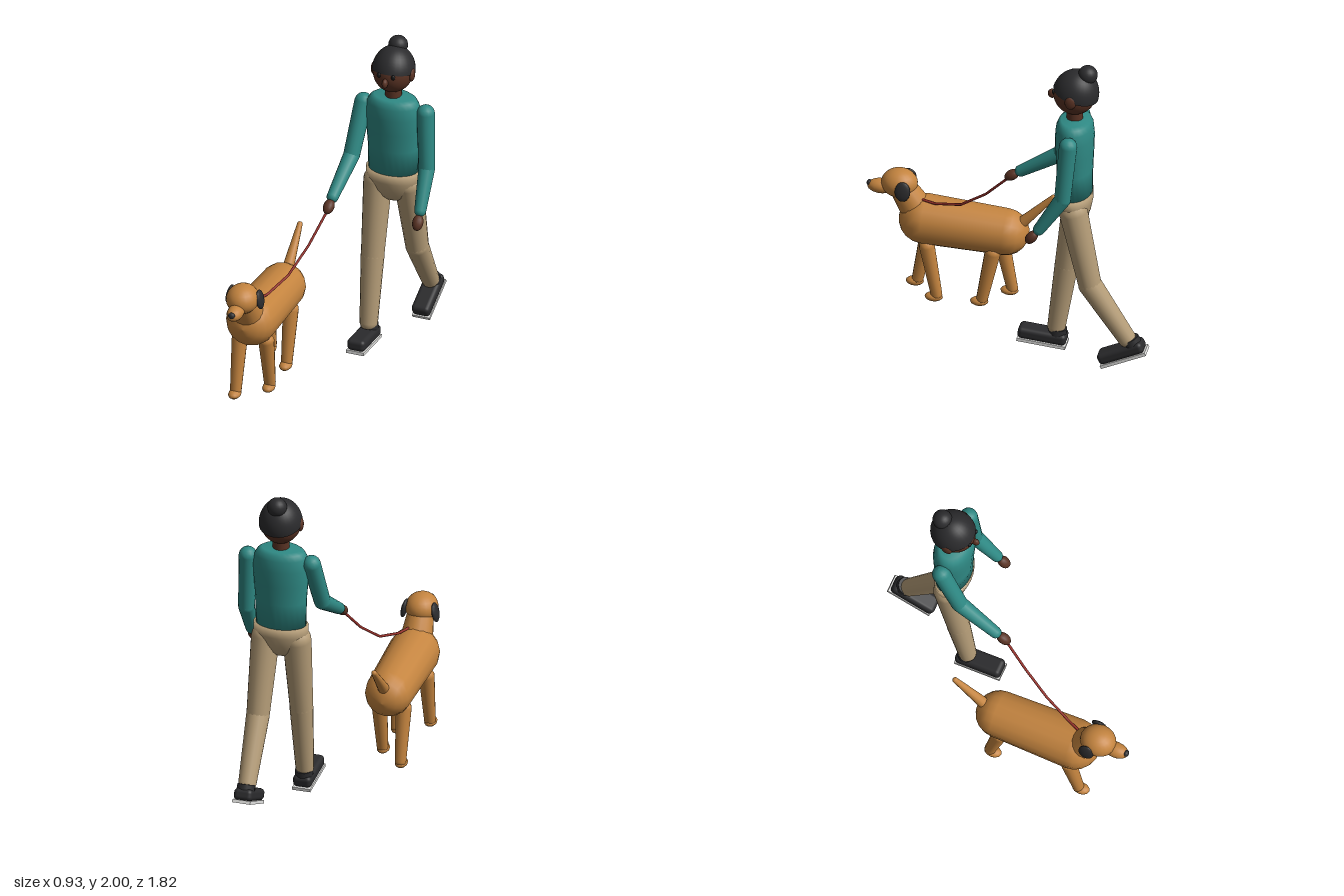
import * as THREE from 'three';
import { RoundedBoxGeometry } from 'three/addons/geometries/RoundedBoxGeometry.js';

const mat = (name, color) => {
  const m = new THREE.MeshStandardMaterial({ color });
  m.name = name;
  return m;
};

export function createModel() {
  const skin = mat('skin brown', 0x5a3324);
  const dark = mat('charcoal', 0x2b2b2d);
  const teal = mat('sweater teal', 0x2f8a85);
  const tan = mat('trouser tan', 0xb59d78);
  const fur = mat('fur golden', 0xc4843f);
  const red = mat('leash red', 0x96302a);
  const white = mat('sole white', 0xe2e2e0);
  const black = mat('eye black', 0x181818);

  const root = new THREE.Group();
  const person = new THREE.Group();
  person.name = 'walker';
  const dog = new THREE.Group();
  dog.name = 'dog';
  root.add(person, dog);

  const add = (parent, name, geo, material, pos = [0, 0, 0]) => {
    const m = new THREE.Mesh(geo, material);
    m.name = name;
    m.position.set(...pos);
    parent.add(m);
    return m;
  };

  const ball = (parent, name, material, pos, radii, seg = 20) => {
    const m = add(parent, name, new THREE.SphereGeometry(1, seg, Math.round(seg * 0.7)), material, pos);
    m.scale.set(...radii);
    return m;
  };

  // Tapered capsule between two points
  const limb = (parent, name, material, a, b, ra, rb, seg = 16) => {
    const from = new THREE.Vector3(...a), to = new THREE.Vector3(...b);
    const dir = to.clone().sub(from), len = dir.length(), pts = [];
    for (let i = 0; i <= 5; i++) {
      const t = (i / 5) * Math.PI / 2;
      pts.push(new THREE.Vector2(Math.sin(t) * ra, -Math.cos(t) * ra));
    }
    for (let i = 0; i <= 5; i++) {
      const t = (i / 5) * Math.PI / 2;
      pts.push(new THREE.Vector2(Math.cos(t) * rb, len + Math.sin(t) * rb));
    }
    const m = add(parent, name, new THREE.LatheGeometry(pts, seg), material, a);
    m.quaternion.setFromUnitVectors(new THREE.Vector3(0, 1, 0), dir.normalize());
    return m;
  };

  // Elliptical lathe for the trunk
  const trunk = (name, material, profile, depth) => {
    const geo = new THREE.LatheGeometry(profile.map(p => new THREE.Vector2(...p)), 24);
    const m = add(person, name, geo, material, [0.19, 0, -0.45]);
    m.scale.z = depth;
  };

  trunk('sweater', teal, [[0, 1.13], [0.154, 1.135], [0.157, 1.3], [0.166, 1.42], [0.171, 1.52],
    [0.162, 1.59], [0.143, 1.622], [0.118, 1.638], [0, 1.645]], 0.68);
  trunk('hips', tan, [[0, 0.93], [0.07, 0.94], [0.115, 0.97], [0.15, 1.02], [0.168, 1.08], [0.169, 1.14], [0, 1.141]], 0.64);

  // Head
  limb(person, 'neck', skin, [0.19, 1.6, -0.45], [0.19, 1.72, -0.45], 0.05, 0.05);
  ball(person, 'head', skin, [0.19, 1.812, -0.45], [0.122, 0.136, 0.13], 28);
  const hair = add(person, 'hair', new THREE.SphereGeometry(1, 28, 12, 0, Math.PI * 2, 0, Math.PI * 0.5),
    dark, [0.19, 1.807, -0.455]);
  hair.material = dark;
  hair.scale.set(0.13, 0.155, 0.139);
  hair.rotation.x = -0.28;
  ball(person, 'hairBun', dark, [0.19, 1.942, -0.528], [0.059, 0.058, 0.059]);
  ball(person, 'nose', skin, [0.19, 1.79, -0.312], [0.018, 0.03, 0.026], 12);
  for (const s of [-1, 1]) {
    ball(person, 'ear', skin, [0.19 + s * 0.121, 1.805, -0.445], [0.016, 0.042, 0.034], 12);
    ball(person, 'eye', black, [0.19 + s * 0.045, 1.83, -0.33], [0.014, 0.016, 0.01], 12);
  }

  // Arms
  const arms = [
    { side: 'right', shoulder: [0.0, 1.555, -0.45], elbow: [-0.025, 1.25, -0.32], wrist: [-0.05, 1.09, -0.075], hand: [-0.053, 1.053, -0.02] },
    { side: 'left', shoulder: [0.397, 1.555, -0.45], elbow: [0.415, 1.2, -0.42], wrist: [0.428, 0.985, -0.28], hand: [0.43, 0.928, -0.235] },
  ];
  for (const { side, shoulder, elbow, wrist, hand } of arms) {
    limb(person, side + 'UpperArm', teal, shoulder, elbow, 0.055, 0.05);
    limb(person, side + 'Forearm', teal, elbow, wrist, 0.05, 0.036);
    const tip = new THREE.Vector3(...hand);
    const h = ball(person, side + 'Hand', skin, hand, [0.034, 0.05, 0.032], 14);
    const dir = tip.sub(new THREE.Vector3(...wrist)).normalize();
    h.quaternion.setFromUnitVectors(new THREE.Vector3(0, 1, 0), dir);
  }

  // Legs and shoes
  const legs = [
    { side: 'right', hip: [0.092, 1.04, -0.448], knee: [0.086, 0.555, -0.378], ankle: [0.085, 0.13, -0.318], heel: [0.087, 0.0, -0.38], tilt: -0.1 },
    { side: 'left', hip: [0.284, 1.04, -0.46], knee: [0.298, 0.565, -0.562], ankle: [0.293, 0.215, -0.785], heel: [0.293, 0.14, -0.91], tilt: 0.42 },
  ];
  for (const { side, hip, knee, ankle, heel, tilt } of legs) {
    limb(person, side + 'Thigh', tan, hip, knee, 0.087, 0.07);
    limb(person, side + 'Shin', tan, knee, ankle, 0.071, 0.055);
    const shoe = new THREE.Group();
    shoe.name = side + 'Shoe';
    shoe.position.set(...heel);
    shoe.rotation.x = tilt;
    person.add(shoe);
    add(shoe, 'sole', new THREE.BoxGeometry(0.112, 0.02, 0.296), white, [0, 0.01, 0.148]);
    add(shoe, 'upper', new RoundedBoxGeometry(0.114, 0.072, 0.294, 3, 0.026), dark, [0, 0.053, 0.15]);
    add(shoe, 'collar', new THREE.CylinderGeometry(0.053, 0.056, 0.06, 16), dark, [0, 0.085, 0.064]);
  }

  // Dog body
  const cx = -0.315;
  limb(dog, 'body', fur, [cx, 0.535, 0.56], [cx, 0.5, 0.07], 0.154, 0.142, 16);
  limb(dog, 'neck', fur, [cx, 0.61, 0.615], [cx, 0.73, 0.69], 0.097, 0.08);
  ball(dog, 'head', fur, [cx, 0.765, 0.712], [0.098, 0.089, 0.11]);
  ball(dog, 'snout', fur, [cx, 0.73, 0.825], [0.049, 0.045, 0.082], 16);
  ball(dog, 'nose', dark, [cx, 0.743, 0.893], [0.022, 0.02, 0.018], 12);
  limb(dog, 'tail', fur, [cx, 0.565, -0.02], [cx, 0.768, -0.218], 0.036, 0.017, 12);
  for (const s of [-1, 1]) {
    const ear = ball(dog, 'ear', dark, [cx + s * 0.096, 0.758, 0.675], [0.018, 0.061, 0.048], 14);
    ear.rotation.z = s * 0.2;
  }

  // Dog legs: side, top z, ankle z
  for (const [name, s, top, foot] of [
    ['leftFrontLeg', 1, 0.53, 0.472], ['rightFrontLeg', -1, 0.555, 0.618],
    ['leftBackLeg', 1, 0.133, 0.197], ['rightBackLeg', -1, 0.11, 0.046]]) {
    const x = cx + s * 0.08;
    limb(dog, name, fur, [x, 0.392, top], [x, 0.07, foot], 0.048, 0.035, 12);
    ball(dog, name + 'Paw', fur, [x, 0.052, foot + 0.017], [0.038, 0.027, 0.055], 12);
  }

  // Sagging leash in straight segments
  const path = new THREE.CurvePath();
  const pts = [[-0.053, 1.04, -0.01], [-0.115, 0.865, 0.15], [-0.18, 0.735, 0.315], [-0.245, 0.685, 0.485], [-0.277, 0.685, 0.565]]
    .map(p => new THREE.Vector3(...p));
  for (let i = 1; i < pts.length; i++) path.add(new THREE.LineCurve3(pts[i - 1], pts[i]));
  add(root, 'leash', new THREE.TubeGeometry(path, 40, 0.008, 8), red);

  return root;
}
